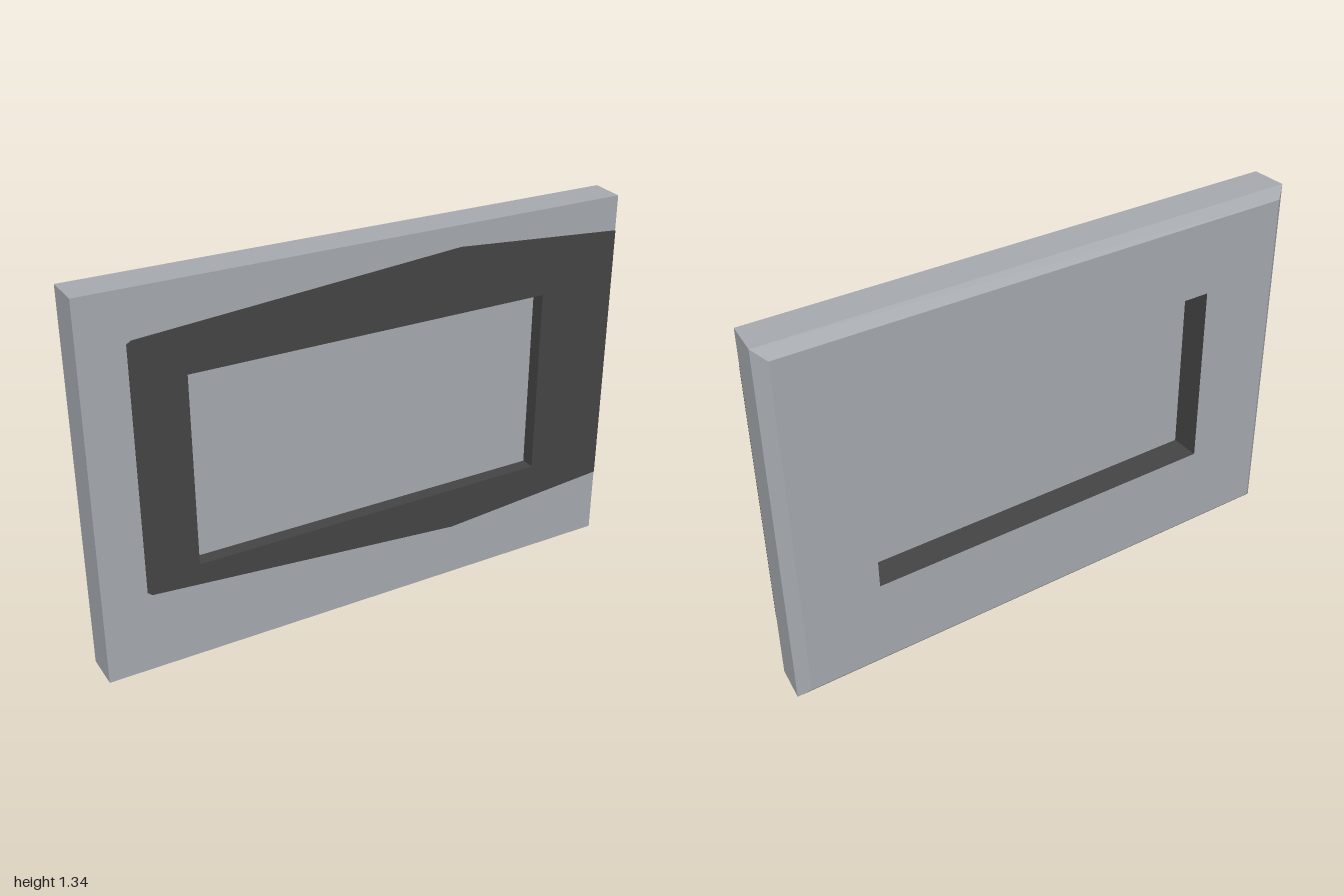
import * as THREE from 'three';

const frameGrey = new THREE.MeshStandardMaterial({ color: 0xa5a9ae });
frameGrey.name = 'frame grey';
const bandDark = new THREE.MeshStandardMaterial({ color: 0x444444 });
bandDark.name = 'band dark';

const FRONT = 0.085, BACK = -0.085, HEIGHT = 1.342;
const OPENING = { x0: -0.66, x1: 0.68, y0: 0.35, y1: 1.03 };

// Rectangular cross-section, counter-clockwise seen from the front
function ring({ x0, x1, y0, y1 }, z) {
  return [[x0, y0, z], [x1, y0, z], [x1, y1, z], [x0, y1, z]];
}

// Flat-sided skin through successive rings
function loft(rings) {
  const positions = [];
  for (let i = 0; i < rings.length - 1; i++) {
    for (let j = 0; j < 4; j++) {
      const k = (j + 1) % 4;
      const a = rings[i][j], b = rings[i][k], c = rings[i + 1][k], d = rings[i + 1][j];
      positions.push(...a, ...d, ...c, ...a, ...c, ...b);
    }
  }
  const geometry = new THREE.BufferGeometry();
  geometry.setAttribute('position', new THREE.Float32BufferAttribute(positions, 3));
  geometry.computeVertexNormals();
  return geometry;
}

export function createModel() {
  const group = new THREE.Group();
  const add = (name, geometry, material) => {
    const mesh = new THREE.Mesh(geometry, material);
    mesh.name = name;
    group.add(mesh);
    return mesh;
  };

  // Frame: front face, slightly slanted right side, chamfered back, back face
  const skinFront = FRONT - 0.002;
  add('frame', loft([
    ring(OPENING, skinFront),
    ring({ x0: -1, x1: 0.985, y0: 0, y1: HEIGHT }, skinFront),
    ring({ x0: -1, x1: 1, y0: 0, y1: HEIGHT }, -0.052),
    ring({ x0: -0.96, x1: 0.96, y0: 0.037, y1: HEIGHT - 0.037 }, BACK),
    ring(OPENING, BACK),
  ]), frameGrey);

  // Dark walls of the opening
  add('openingWalls', loft([ring(OPENING, BACK), ring(OPENING, FRONT)]), bandDark);

  // Dark band plate around the opening
  const band = new THREE.Shape([
    [-0.845, 0.3], [-0.83, 0.287], [0.33, 0.195], [0.985, 0.245],
    [0.985, 1.215], [0.33, 1.266], [-0.83, 1.178], [-0.845, 1.168],
  ].map(([x, y]) => new THREE.Vector2(x, y)));
  band.holes.push(new THREE.Path(
    ring(OPENING, 0).reverse().map(([x, y]) => new THREE.Vector2(x, y))));
  const plate = add('frontBand',
    new THREE.ExtrudeGeometry(band, { depth: 0.002, bevelEnabled: false }), bandDark);
  plate.position.z = FRONT - 0.002;

  // Thin panel closing the opening, set nearer the front
  const { x0, x1, y0, y1 } = OPENING;
  const panel = add('panel', new THREE.BoxGeometry(x1 - x0, y1 - y0, 0.006), frameGrey);
  panel.position.set((x0 + x1) / 2, (y0 + y1) / 2, 0.03);

  return group;
}
